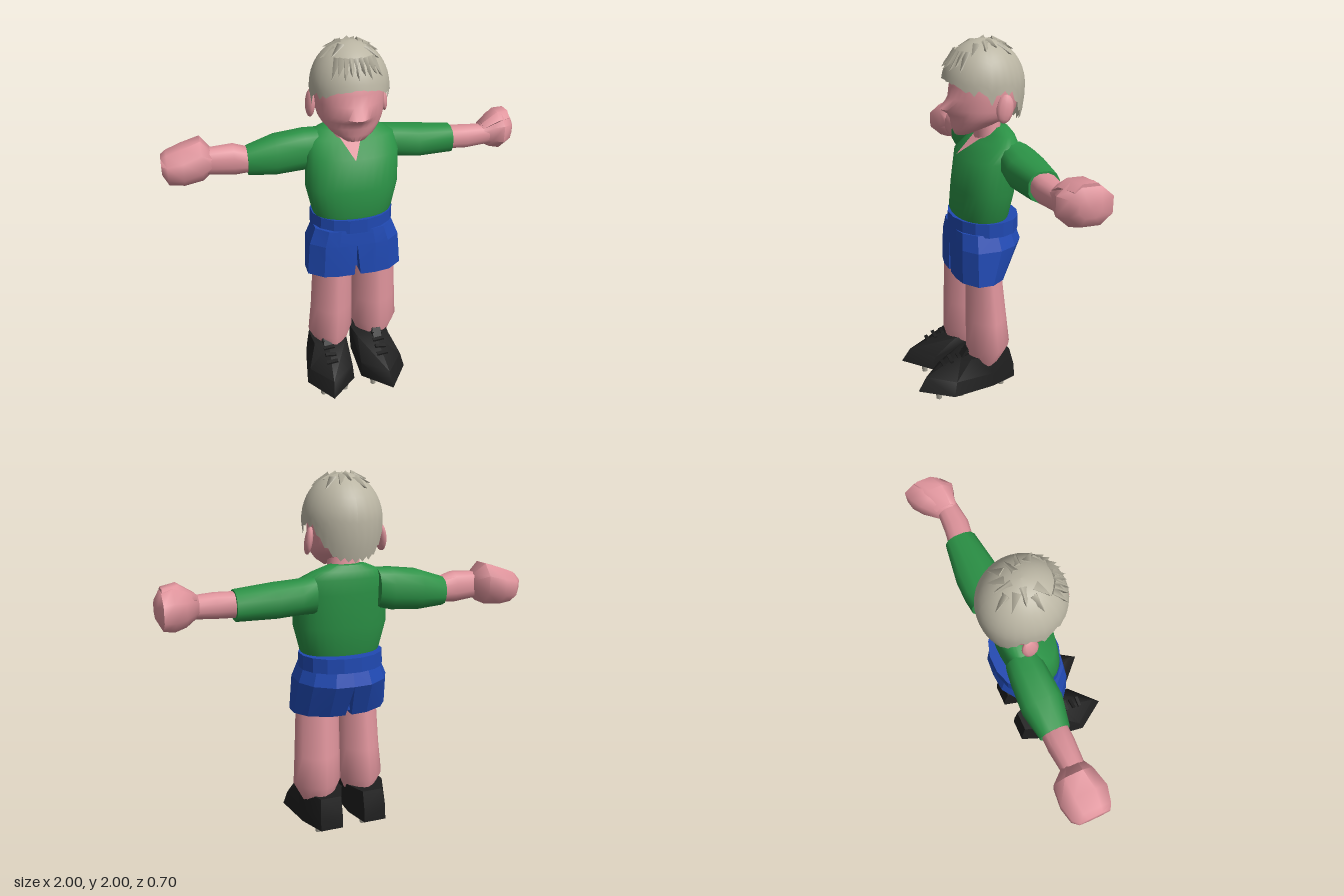
import * as THREE from 'three';
import { toCreasedNormals } from 'three/addons/utils/BufferGeometryUtils.js';

const mat = (name, color, side = THREE.FrontSide) => {
  const m = new THREE.MeshStandardMaterial({ color, side });
  m.name = name;
  return m;
};

// Superellipse ring across the given axis: [position, a0, a1, b0, b1]
function ring(axis, [p, a0, a1, b0, b1], n, pow) {
  const pts = [];
  for (let i = 0; i < n; i++) {
    const t = ((i + 0.5) / n) * Math.PI * 2, c = Math.cos(t), s = Math.sin(t);
    const a = (a0 + a1) / 2 + ((a1 - a0) / 2) * Math.sign(c) * Math.abs(c) ** (2 / pow);
    const b = (b0 + b1) / 2 + ((b1 - b0) / 2) * Math.sign(s) * Math.abs(s) ** (2 / pow);
    pts.push(axis === 'y' ? [a, p, b] : [p, a, b]);
  }
  return pts;
}

// Skin a list of rings into a capped solid that always faces outward
function loft(rings, crease = 0.8) {
  const n = rings[0].length, pos = rings.flat(), idx = [];
  for (let r = 0; r < rings.length - 1; r++)
    for (let i = 0; i < n; i++) {
      const a = r * n + i, b = r * n + ((i + 1) % n);
      idx.push(a, a + n, b, b, a + n, b + n);
    }
  for (const [r, flip] of [[0, false], [rings.length - 1, true]]) {
    const c = pos.length;
    pos.push([0, 1, 2].map(k => rings[r].reduce((s, p) => s + p[k], 0) / n));
    for (let i = 0; i < n; i++) {
      const a = r * n + i, b = r * n + ((i + 1) % n);
      idx.push(...(flip ? [c, b, a] : [c, a, b]));
    }
  }
  const v = pos.map(p => new THREE.Vector3(...p));
  let vol = 0;
  for (let i = 0; i < idx.length; i += 3)
    vol += v[idx[i]].dot(v[idx[i + 1]].clone().cross(v[idx[i + 2]]));
  if (vol < 0) idx.reverse();
  const g = new THREE.BufferGeometry();
  g.setAttribute('position', new THREE.Float32BufferAttribute(pos.flat(), 3));
  g.setIndex(idx);
  return toCreasedNormals(g, crease);
}

// Open grid surface from a function of (u, v) in 0..1
function sheet(fn, nu, nv) {
  const pos = [], idx = [], w = nu + 1;
  for (let j = 0; j <= nv; j++) for (let i = 0; i <= nu; i++) pos.push(...fn(i / nu, j / nv));
  for (let j = 0; j < nv; j++)
    for (let i = 0; i < nu; i++) {
      const a = j * w + i;
      idx.push(a, a + 1, a + w, a + 1, a + w + 1, a + w);
    }
  const g = new THREE.BufferGeometry();
  g.setAttribute('position', new THREE.Float32BufferAttribute(pos, 3));
  g.setIndex(idx);
  g.computeVertexNormals();
  return g;
}

// Linear lookup in rows sorted by their first value
function lookup(rows, x) {
  let i = 0;
  while (i < rows.length - 2 && x > rows[i + 1][0]) i++;
  const t = THREE.MathUtils.clamp((x - rows[i][0]) / (rows[i + 1][0] - rows[i][0]), 0, 1);
  return rows[i].map((v, k) => v + (rows[i + 1][k] - v) * t);
}

export function createModel() {
  const model = new THREE.Group();
  const skin = mat('skin', 0xdf949c, THREE.DoubleSide), green = mat('shirt green', 0x2b9246);
  const blue = mat('shorts blue', 0x2049b2), black = mat('shoe black', 0x1e1e1e);
  const blond = mat('hair ash blond', 0xbab5a3, THREE.DoubleSide), metal = mat('stud grey', 0xaaa699);
  const add = (name, geo, m, parent = model) => {
    const mesh = new THREE.Mesh(geo, m);
    mesh.name = name;
    parent.add(mesh);
    return mesh;
  };
  const body = (name, rows, m, n = 20, pow = 2.3, crease = 0.8, axis = 'y') =>
    add(name, loft(rows.map(r => ring(axis, r, n, pow)), crease), m);

  // Shirt and V neck
  const torso = [
    [1.0, -0.2, 0.2, -0.2, 0.06], [1.06, -0.22, 0.23, -0.22, 0.085], [1.2, -0.25, 0.27, -0.24, 0.07],
    [1.38, -0.24, 0.275, -0.25, 0.05], [1.46, -0.22, 0.26, -0.25, -0.05], [1.5, -0.17, 0.19, -0.24, -0.1],
    [1.53, -0.1, 0.11, -0.22, -0.13]];
  body('shirt', torso, green, 32, 2.2);
  add('neckline', sheet((u, v) => {
    const y = 1.38 + 0.135 * v, x = (u * 2 - 1) * 0.085 * v;
    const [, x0, x1, z0, z1] = lookup(torso, y);
    const f = Math.abs((x - (x0 + x1) / 2) / ((x1 - x0) / 2));
    return [x, y, (z0 + z1) / 2 + ((z1 - z0) / 2) * Math.max(0, 1 - f ** 2.2) ** (1 / 2.2) + 0.009];
  }, 8, 10), skin);
  body('neck', [[1.42, -0.1, 0.1, -0.2, -0.05], [1.6, -0.08, 0.08, -0.18, -0.04]], skin, 14, 2);

  // Arms, sleeves and fists
  const limb = (name, rows, m, n = 12, pow = 2.4, crease = 0.8) => body(name, rows, m, n, pow, crease, 'x');
  limb('rightSleeve', [[-0.16, 1.29, 1.5, -0.26, -0.08], [-0.24, 1.27, 1.5, -0.27, -0.07],
    [-0.4, 1.26, 1.48, -0.28, -0.06], [-0.55, 1.27, 1.43, -0.25, -0.09]], green);
  limb('rightForearm', [[-0.5, 1.29, 1.41, -0.24, -0.1], [-0.62, 1.28, 1.45, -0.24, -0.1],
    [-0.8, 1.3, 1.44, -0.22, -0.11]], skin);
  limb('rightHand', [[-0.73, 1.32, 1.43, -0.23, -0.11], [-0.79, 1.26, 1.5, -0.3, -0.08],
    [-0.89, 1.25, 1.47, -0.31, -0.05], [-0.97, 1.26, 1.44, -0.29, -0.07], [-1, 1.32, 1.42, -0.26, -0.09]],
  skin, 8, 2.2, 1.1);
  limb('leftSleeve', [[0.2, 1.29, 1.48, -0.29, -0.1], [0.28, 1.29, 1.47, -0.3, -0.09],
    [0.4, 1.28, 1.46, -0.3, -0.07], [0.61, 1.28, 1.44, -0.27, -0.1]], green);
  limb('leftForearm', [[0.55, 1.3, 1.43, -0.26, -0.12], [0.7, 1.3, 1.43, -0.24, -0.1],
    [0.86, 1.31, 1.42, -0.23, -0.12]], skin);
  limb('leftHand', [[0.79, 1.32, 1.43, -0.24, -0.12], [0.86, 1.28, 1.47, -0.31, -0.11],
    [0.92, 1.265, 1.49, -0.35, -0.09], [0.975, 1.28, 1.475, -0.36, -0.13], [1, 1.33, 1.43, -0.29, -0.17]],
  skin, 8, 2.2, 1.1);
  limb('leftThumb', [[0.8, 1.38, 1.44, -0.24, -0.13], [0.89, 1.41, 1.5, -0.28, -0.12],
    [0.97, 1.41, 1.49, -0.31, -0.16]], skin, 6, 2, 1.1);

  // Shorts: each leg is square at the middle seam and chamfered outside
  body('waistband', [[0.965, -0.23, 0.24, -0.28, 0.1], [1.045, -0.225, 0.24, -0.28, 0.1]], blue, 16, 2.1, 0.2);
  for (const [name, s] of [['rightShortsLeg', -1], ['leftShortsLeg', 1]]) {
    const rows = [[0.98, 0, 0.22, -0.26, 0.09], [0.89, 0, 0.255, -0.29, 0.1], [0.7, 0.018, 0.27, -0.2, 0.1]];
    add(name, loft(rows.map(([y, x0, x1, z0, z1]) => {
      const d = z1 - z0;
      return [[x0, z0], [x0, z1], [x1 * 0.4, z1], [x1 * 0.7, z1 - 0.015], [x1, z1 - 0.08],
        [x1, z0 + 0.45 * d], [x1 * 0.8, z0 + 0.2 * d], [x1 * 0.4, z0 + 0.02 * d]].map(([x, z]) => [s * x, y, z]);
    }), 0.2), blue);
  }
  add('shortsGusset', new THREE.BoxGeometry(0.05, 0.22, 0.22), blue).position.set(0, 0.83, -0.07);

  // Legs
  body('rightLeg', [[0.16, -0.21, -0.05, -0.13, 0.07], [0.27, -0.268, -0.003, -0.18, 0.1],
    [0.45, -0.252, -0.003, -0.16, 0.1], [0.75, -0.235, -0.005, -0.13, 0.095]], skin, 16, 1.5);
  body('leftLeg', [[0.16, 0.05, 0.22, -0.15, 0.02], [0.28, 0.003, 0.283, -0.21, 0.05],
    [0.45, 0.003, 0.272, -0.19, 0.05], [0.75, 0.005, 0.255, -0.155, 0.05]], skin, 16, 1.5);

  // Football boots: sole, side and ankle outlines share the same point order
  const outlines = [
    [0.04, [[0.2, 0.35], [0.32, 0.17], [0.28, -0.08], [0.22, -0.23], [0.09, -0.23], [0.05, -0.08], [0.045, 0.2]]],
    [0.12, [[0.19, 0.3], [0.3, 0.15], [0.275, -0.08], [0.22, -0.225], [0.09, -0.225], [0.045, -0.08], [0.05, 0.18]]],
    [0.22, [[0.17, 0.08], [0.25, 0.05], [0.26, -0.08], [0.21, -0.2], [0.09, -0.2], [0.04, -0.08], [0.06, 0.05]]]];
  for (const [name, s, dx, dz] of [['rightBoot', -1, 0, 0], ['leftBoot', 1, -0.045, -0.008]]) {
    const boot = new THREE.Group();
    boot.name = name;
    boot.position.set(dx, 0, dz);
    model.add(boot);
    add('upper', loft(outlines.map(([y, pts]) => pts.map(([x, z]) => [s * x, y, z])), 0.9), black, boot);
    for (let i = 0; i < 4; i++) {
      const lace = add('lace', new THREE.BoxGeometry(0.065, 0.014, 0.02), black, boot);
      lace.position.set(s * 0.175, 0.238 - i * 0.018, 0.06 + i * 0.045);
      lace.rotation.set(0.3, 0, (i % 2 ? 1 : -1) * 0.15);
    }
    const tongue = add('tongue', new THREE.BoxGeometry(0.05, 0.065, 0.02), black, boot);
    tongue.position.set(s * 0.175, 0.235, 0.065);
    tongue.rotation.x = -0.6;
    for (const [x, z] of [[0.24, 0.24], [0.11, 0.23], [0.25, 0.11], [0.1, 0.11], [0.21, -0.15], [0.11, -0.15]])
      add('stud', new THREE.CylinderGeometry(0.02, 0.016, 0.045, 8), metal, boot).position.set(s * x, 0.0225, z);
  }

  // Head with a smooth pointed nose and a jaw that rises toward the neck
  const noseDepth = [[1.57, 0], [1.605, 0.018], [1.635, 0.066], [1.69, 0.012], [1.74, 0]];
  const headRows = [[1.495, -0.06, 0.06, -0.04, 0.065], [1.53, -0.12, 0.12, -0.15, 0.08], [1.57, -0.155, 0.155, -0.22, 0.085],
    [1.605, -0.172, 0.172, -0.25, 0.087], [1.635, -0.18, 0.18, -0.265, 0.088], [1.69, -0.184, 0.184, -0.275, 0.088],
    [1.75, -0.185, 0.185, -0.28, 0.088], [1.85, -0.16, 0.16, -0.25, 0.06], [1.93, -0.1, 0.1, -0.18, 0]];
  add('head', loft(headRows.map(r => ring('y', r, 32, 2.1).map(([x, y, z]) => [
    x,
    y + 0.2 * Math.max(0, 0.05 - z) * THREE.MathUtils.clamp((1.6 - y) / 0.1, 0, 1),
    z > 0 ? z + lookup(noseDepth, y)[1] * Math.exp(-((x / 0.08) ** 2)) : z])), 1.3), skin);
  for (const s of [-1, 1]) {
    const ear = add(s < 0 ? 'rightEar' : 'leftEar', new THREE.SphereGeometry(1, 10, 8), skin);
    ear.scale.set(0.022, 0.075, 0.045);
    ear.position.set(s * 0.2, 1.655, -0.14);
    ear.rotation.set(-0.15, s * -0.25, s * 0.1);
  }

  // Hair cap with a jagged hairline given as [angle from the front, height]
  const hairline = [[0, 1.79], [0.6, 1.77], [1, 1.72], [1.25, 1.74], [1.45, 1.67], [1.65, 1.73],
    [2, 1.72], [2.25, 1.64], [2.6, 1.565], [3.15, 1.55]];
  const onHair = (a, phi, lift = 0) => [
    (0.21 + lift) * Math.cos(phi) * Math.sin(a),
    1.75 + ((phi < 0 ? 0.4 : 0.24) + lift) * Math.sin(phi),
    -0.09 + ((Math.cos(a) > 0 ? 0.222 : 0.225) + lift) * Math.cos(phi) * Math.cos(a)];
  add('hair', sheet((u, v) => {
    const a = (u * 2 - 1) * Math.PI, jag = Math.abs(a) < 0.9 ? 0.004 : 0.022;
    const y = lookup(hairline, Math.abs(a))[1] + jag * (Math.round(u * 60) % 2);
    const phi = Math.asin((y - 1.75) / (y < 1.75 ? 0.4 : 0.24));
    return onHair(a, phi + (Math.PI / 2 - phi) * v);
  }, 60, 12), blond);

  // Loose locks lying along the hair, each from a root to a lifted tip
  const lock = (a, from, to, lift) => {
    const p = new THREE.Vector3(...onHair(a, from, -0.015)), q = new THREE.Vector3(...onHair(a, to, lift));
    const m = add('lock', new THREE.ConeGeometry(0.03, p.distanceTo(q), 4), blond);
    m.position.copy(p).lerp(q, 0.5);
    m.quaternion.setFromUnitVectors(new THREE.Vector3(0, 1, 0), q.sub(p).normalize());
  };
  for (let i = -4; i <= 4; i++) lock(i * 0.17, 0.85, 0.36 + 0.08 * (i & 1), 0.014);
  for (let i = 0; i < 11; i++) lock(0.9 + i * 0.45, 1.12 + 0.12 * (i % 3), 0.72 + 0.12 * (i % 3), 0.012);
  return model;
}
